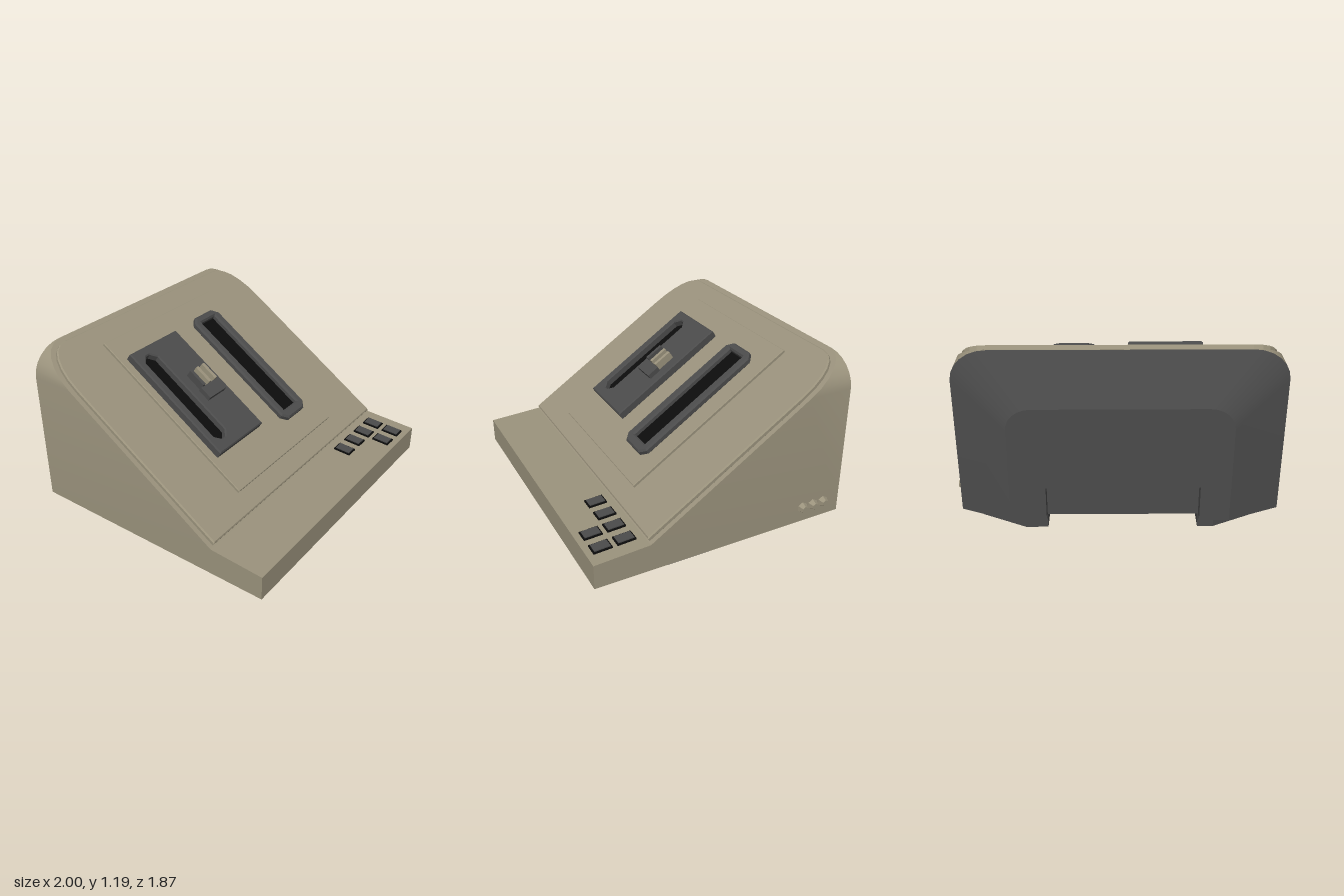
import * as THREE from 'three';
import { toCreasedNormals } from 'three/addons/utils/BufferGeometryUtils.js';

const mat = (name, color) => {
  const m = new THREE.MeshStandardMaterial({ color });
  m.name = name;
  return m;
};

export function createModel() {
  const tan = mat('tan plastic', 0x9a927c);
  const charcoal = mat('charcoal plastic', 0x4b4b4b);
  const black = mat('black recess', 0x0c0c0c);
  const model = new THREE.Group();
  model.name = 'desktopTerminal';

  const add = (parent, name, geometry, material, x = 0, y = 0, z = 0) => {
    const mesh = new THREE.Mesh(geometry, material);
    mesh.name = name;
    mesh.position.set(x, y, z);
    parent.add(mesh);
    return mesh;
  };
  const polygon = pts => new THREE.Shape(pts.map(p => new THREE.Vector2(p[0], p[1])));
  const fromTriangles = tris => {
    const g = new THREE.BufferGeometry();
    g.setAttribute('position', new THREE.Float32BufferAttribute(tris.flat(), 3));
    g.computeVertexNormals();
    return toCreasedNormals(g, 0.5);
  };
  // solid of total thickness h whose outline stays true when bevelled
  const slab = (shape, h, bevel = 0) => {
    const g = new THREE.ExtrudeGeometry(shape, {
      depth: h - 2 * bevel, bevelEnabled: bevel > 0, bevelThickness: bevel,
      bevelSize: bevel, bevelOffset: -bevel, bevelSegments: 1, curveSegments: 6,
    });
    g.translate(0, 0, bevel);
    return g;
  };
  // outline in plan, given as [x, z], extruded upward
  const planSlab = (pts, h) => slab(polygon(pts.map(([x, z]) => [x, -z])), h).rotateX(-Math.PI / 2);

  const X0 = -1, X1 = 0.965, FLOOR = 0.105, TOP = 1.185, BACK = -0.805, REAR = -0.935;
  const FOOT = { y: 0.29, z: 0.57 }, RISE = 0.6544;

  // rounded upper outline, left to right
  const arch = [];
  for (let i = 0; i <= 6; i++) {
    const a = (i / 6) * Math.PI / 2;
    arch.push([X0 + 0.22 * (1 - Math.cos(a)), TOP - 0.19 * (1 - Math.sin(a))]);
  }
  for (let i = 6; i >= 0; i--) arch.push([X0 + X1 - arch[i][0], arch[i][1]]);

  // wedge body: one side profile for every point of the arch
  const columns = arch.map(([x, y]) => [
    [x, FLOOR, BACK], [x, FLOOR, 0.935], [x, 0.27, 0.935], [x, FOOT.y, FOOT.z],
    [x, y, FOOT.z - (y - FOOT.y) / RISE], [x, y, BACK],
  ]);
  const wedge = [];
  for (let i = 0; i < columns.length - 1; i++) {
    const p = columns[i], q = columns[i + 1];
    for (let k = 0; k < 6; k++) {
      const n = (k + 1) % 6;
      wedge.push(...p[k], ...q[k], ...q[n], ...p[k], ...q[n], ...p[n]);
    }
  }
  const first = columns[0], last = columns[columns.length - 1];
  for (let k = 1; k < 5; k++) {
    wedge.push(...first[0], ...first[k], ...first[k + 1]);
    wedge.push(...last[0], ...last[k + 1], ...last[k]);
  }
  add(model, 'wedgeBody', fromTriangles(wedge), tan);

  // tapered rear cover
  const rim = [[X0, FLOOR], ...arch, [X1, FLOOR]];
  const mid = (X0 + X1) / 2;
  const inner = rim.map(([x, y]) => [mid + (x - mid) * 0.677, FLOOR + (y - FLOOR) * 0.71]);
  const taper = [];
  for (let i = 0; i < rim.length - 1; i++) {
    const a = [...rim[i], BACK], b = [...rim[i + 1], BACK];
    const c = [...inner[i + 1], REAR], d = [...inner[i], REAR];
    taper.push(...a, ...b, ...c, ...a, ...c, ...d);
  }
  add(model, 'rearCoverSides', fromTriangles(taper), charcoal);
  const N0 = -0.5, N1 = 0.43;
  const rearFace = polygon([...inner, [N1, FLOOR], [N1, 0.34], [N0, 0.34], [N0, FLOOR]]);
  add(model, 'rearFace', slab(rearFace, 0.07), charcoal, 0, 0, REAR);
  add(model, 'portRecess', new THREE.BoxGeometry(N1 - N0, 0.235, 0.02), charcoal,
    (N0 + N1) / 2, 0.2225, -0.855);
  add(model, 'rearCoverUnderside', planSlab([[X1, -0.8], [0.648, REAR], [N1, REAR], [N1, -0.865],
    [N0, -0.865], [N0, REAR], [-0.683, REAR], [X0, -0.8]], 0.004), charcoal, 0, FLOOR - 0.001);

  // plinth with cut rear corners and a cable notch
  add(model, 'plinth', planSlab([[0.85, 0.835], [-0.88, 0.835], [-0.88, -0.72], [-0.6, -0.855],
    [N0, -0.855], [N0, -0.62], [N1, -0.62], [N1, -0.855], [0.57, -0.855], [0.85, -0.72]], FLOOR), charcoal);
  add(model, 'notchCeiling', new THREE.BoxGeometry(N1 - N0, 0.006, 0.25), charcoal,
    (N0 + N1) / 2, FLOOR, -0.74);

  // sloped console: local y runs up the slope, local z stands off it
  const slope = new THREE.Group();
  slope.name = 'slopedConsole';
  slope.position.set(0, FOOT.y, FOOT.z);
  slope.rotation.x = -Math.atan(1 / RISE);
  model.add(slope);

  const panel = new THREE.Shape();
  panel.moveTo(-0.975, 0.01);
  panel.lineTo(0.94, 0.01);
  panel.lineTo(0.94, 1.25);
  panel.bezierCurveTo(0.94, 1.45, 0.87, 1.59, 0.75, 1.59);
  panel.lineTo(-0.785, 1.59);
  panel.bezierCurveTo(-0.905, 1.59, -0.975, 1.45, -0.975, 1.25);
  add(slope, 'frontPanel', slab(panel, 0.035, 0.008), tan);

  const cutRect = (x0, x1, y0, y1, c = 0) => c
    ? [[x0 + c, y0], [x1 - c, y0], [x1, y0 + c], [x1, y1 - c], [x1 - c, y1], [x0 + c, y1], [x0, y1 - c], [x0, y0 + c]]
    : [[x0, y0], [x1, y0], [x1, y1], [x0, y1]];
  add(slope, 'inputPlate', slab(polygon(cutRect(-0.58, 0.525, 0.149, 1.443)), 0.055, 0.004), tan);

  // raised bezel with a dark slot
  const slotUnit = (name, outer, slot, height, bevel) => {
    const shape = polygon(outer);
    shape.holes.push(new THREE.Path(slot.map(p => new THREE.Vector2(p[0], p[1])).reverse()));
    add(slope, name + 'Bezel', slab(shape, height - 0.05, bevel), charcoal, 0, 0, 0.05);
    add(slope, name + 'Slot', slab(polygon(slot), 0.008), black, 0, 0, 0.056);
  };
  slotUnit('leftUnit', cutRect(-0.53, -0.07, 0.4, 1.27),
    cutRect(-0.475, -0.36, 0.475, 1.205, 0.04), 0.112, 0.008);
  slotUnit('rightUnit', cutRect(0.13, 0.4, 0.315, 1.29, 0.045),
    cutRect(0.19, 0.34, 0.385, 1.235), 0.1, 0.012);

  // small lever block
  add(slope, 'leverBlock', new THREE.BoxGeometry(0.17, 0.09, 0.04), charcoal, -0.215, 0.775, 0.125);
  [charcoal, tan, tan].forEach((m, i) =>
    add(slope, 'lever', new THREE.BoxGeometry(0.024, 0.13, 0.055), m, -0.277 + i * 0.061, 0.885, 0.138));

  // keys on the front ledge
  const ledge = new THREE.Group();
  ledge.name = 'ledgeKeys';
  ledge.position.set(0, FOOT.y, FOOT.z);
  ledge.rotation.x = Math.atan(0.02 / 0.365);
  model.add(ledge);
  [[0.4, 0], [0.545, 0], [0.685, 0], [0.83, 0], [0.685, 1], [0.83, 1]].forEach(([x, row]) => {
    const z = 0.11 + row * 0.153;
    add(ledge, 'keySurround', new THREE.BoxGeometry(0.085, 0.012, 0.122), black, x, 0.004, z);
    add(ledge, 'keyCap', new THREE.BoxGeometry(0.068, 0.02, 0.104), charcoal, x, 0.006, z);
  });

  // side knobs
  [-0.52, -0.6, -0.68].forEach(z => {
    const knob = new THREE.CylinderGeometry(0.022, 0.038, 0.035, 6).toNonIndexed();
    knob.computeVertexNormals();
    knob.rotateY(Math.PI / 2).rotateZ(-Math.PI / 2);
    add(model, 'sideKnob', knob, tan, 0.982, 0.21, z);
  });

  return model;
}
